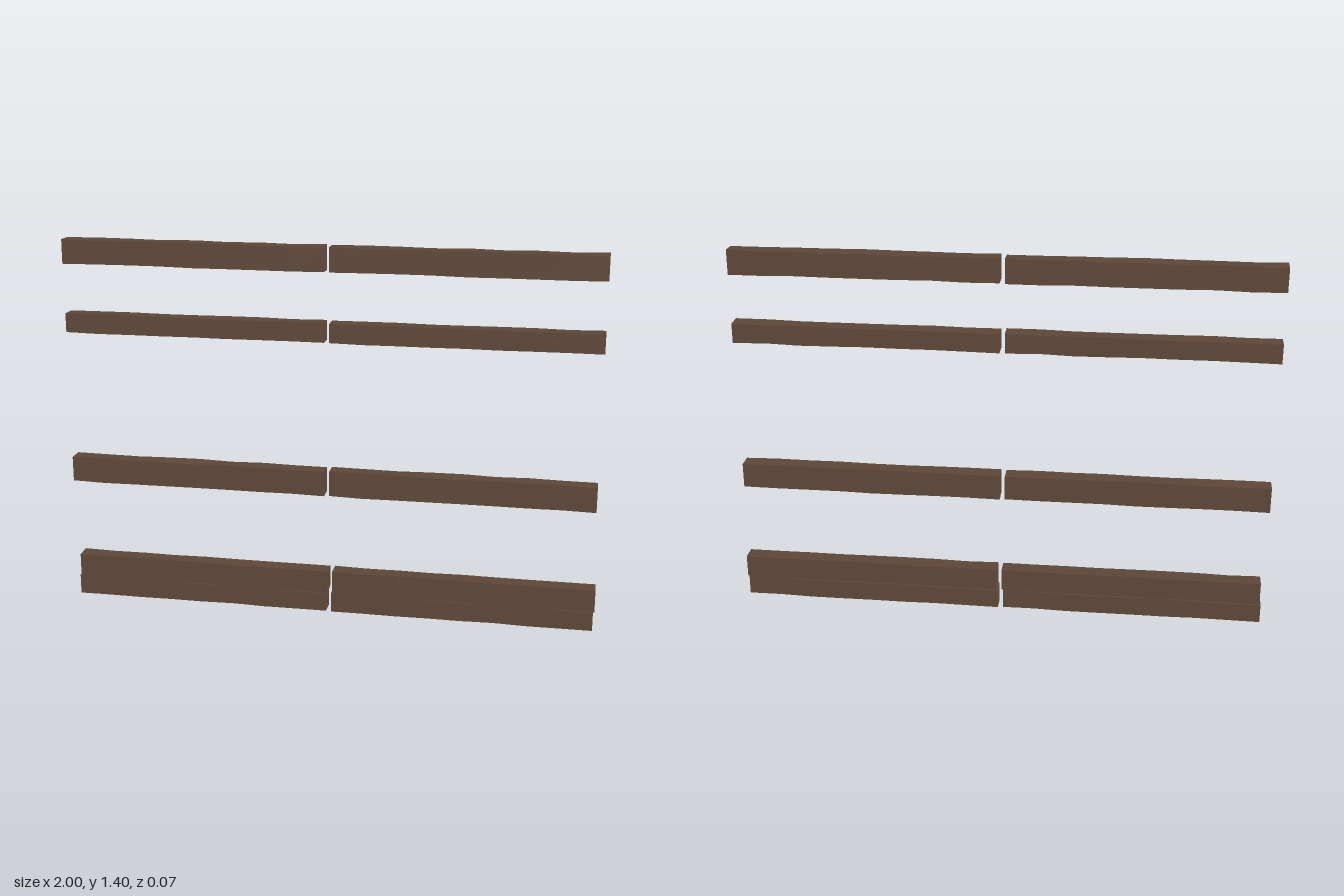
import * as THREE from 'three';

const LENGTH = 0.984, DEPTH = 0.064, SEGMENTS = 8;

// Small repeatable wobble in 0..1
const wobble = (n) => {
  const s = Math.sin(n * 12.9898) * 43758.5453;
  return s - Math.floor(s);
};

// Hollow square rail, open at both ends, with slightly uneven hewn edges
function railGeometry(height, seed) {
  const geometry = new THREE.BoxGeometry(LENGTH, height, DEPTH, SEGMENTS, 1, 1);
  geometry.setIndex(Array.from(geometry.index.array).slice(12)); // drop the two end caps
  geometry.clearGroups();
  const p = geometry.attributes.position;
  for (let i = 0; i < p.count; i++) {
    const column = Math.round((p.getX(i) / LENGTH + 0.5) * SEGMENTS);
    const corner = (p.getY(i) > 0 ? 1 : 0) + (p.getZ(i) > 0 ? 2 : 0);
    const key = seed * 100 + column * 4 + corner;
    p.setY(i, p.getY(i) - Math.sign(p.getY(i)) * 0.004 * wobble(key));
    p.setZ(i, p.getZ(i) - Math.sign(p.getZ(i)) * 0.002 * wobble(key + 0.5));
  }
  geometry.computeVertexNormals();
  return geometry;
}

export function createModel() {
  const model = new THREE.Group();
  model.name = 'railFence';
  const wood = new THREE.MeshStandardMaterial({ color: 0x5c4638, side: THREE.DoubleSide, flatShading: true });
  wood.name = 'darkWood';

  // Each rail: name, bottom, top, left-end start, z shift
  const rails = [
    ['baseRail', 0, 0.077, -0.993, 0],
    ['lowerRail', 0.075, 0.165, -0.988, 0.001],
    ['middleRail', 0.463, 0.563, -1, 0.001],
    ['upperRail', 1.048, 1.124, -1, -0.002],
    ['topRail', 1.307, 1.401, -1, 0.001],
  ];

  rails.forEach(([name, bottom, top, start, z], row) => {
    const geometry = railGeometry(top - bottom, row + 1);
    // Two identical lengths per row with a narrow gap between
    ['Right', 'Left'].forEach((side, k) => {
      const rail = new THREE.Mesh(geometry, wood);
      rail.name = name + side;
      rail.position.set(start + LENGTH / 2 + k * 1.003, (bottom + top) / 2, z);
      model.add(rail);
    });
  });
  return model;
}
